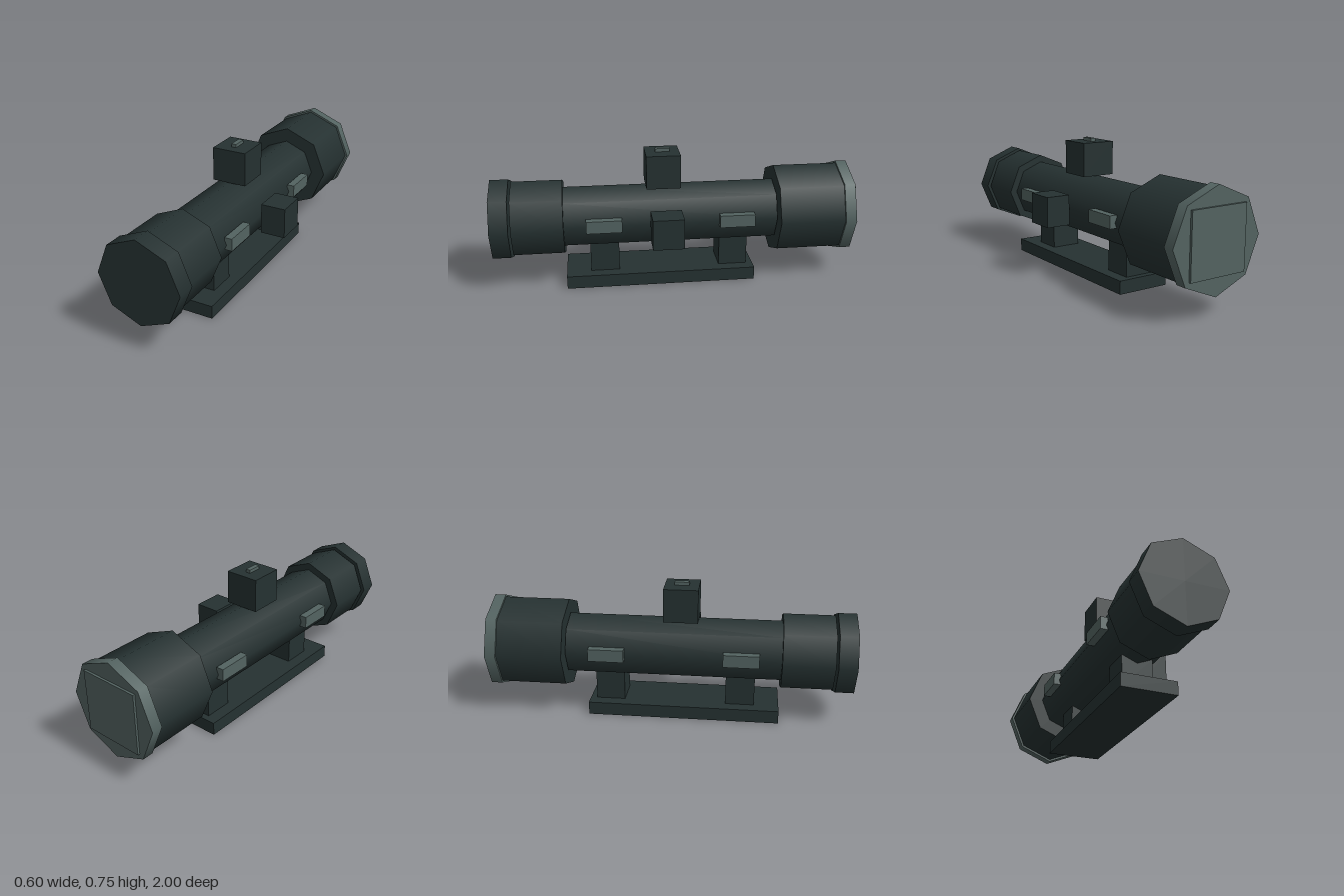
import * as THREE from 'three';

export function createModel() {
  const group = new THREE.Group();
  const dark = new THREE.MeshStandardMaterial({ color: 0x253131 });
  dark.name = 'dark gunmetal';
  const grey = new THREE.MeshStandardMaterial({ color: 0x536361 });
  grey.name = 'grey metal';

  const axisX = -0.033, axisY = 0.377;

  const add = (name, geometry, material) => {
    const mesh = new THREE.Mesh(geometry, material);
    mesh.name = name;
    group.add(mesh);
    return mesh;
  };

  // Eight-sided barrel section along z, smooth round the side
  const barrel = (name, radius, z0, z1, material = dark) => {
    const geometry = new THREE.CylinderGeometry(radius, radius, z1 - z0, 8);
    geometry.rotateX(Math.PI / 2);
    add(name, geometry, material).position.set(axisX, axisY, (z0 + z1) / 2);
  };

  // Box given by its limits on each axis
  const block = (name, [x0, x1], [y0, y1], [z0, z1], material = dark) => {
    add(name, new THREE.BoxGeometry(x1 - x0, y1 - y0, z1 - z0), material)
      .position.set((x0 + x1) / 2, (y0 + y1) / 2, (z0 + z1) / 2);
  };

  // Tube, with narrow gaps between its sections
  barrel('frontCap', 0.23, 0.9, 1);
  barrel('frontCollar', 0.216, 0.611, 0.889);
  barrel('mainTube', 0.174, -0.564, 0.611);
  barrel('rearBell', 0.254, -0.928, -0.568);
  barrel('rearRim', 0.266, -0.988, -0.928, grey);
  block('rearPanel', [-0.2, 0.134], [0.21, 0.544], [-1, -0.98], grey);

  // Adjustment knobs
  block('topTurret', [-0.129, 0.064], [0.551, 0.737], [-0.033, 0.155]);
  block('topTurretMark', [-0.047, -0.019], [0.73, 0.755], [0.02, 0.1], grey);
  block('sideTurret', [0.157, 0.296], [0.292, 0.46], [-0.026, 0.143]);

  // Grey clamps on both sides of the tube
  for (const side of [-1, 1]) {
    const xs = [axisX + side * 0.163, axisX + side * 0.205].sort((a, b) => a - b);
    for (const z of [0.394, -0.335]) {
      block('sideClamp', xs, [0.35, 0.419], [z - 0.097, z + 0.097], grey);
    }
  }

  // Mounting posts and rail
  for (const z of [0.393, -0.334]) {
    block('mountPost', [-0.117, 0.052], [0.07, 0.237], [z - 0.08, z + 0.08]);
  }
  block('mountRail', [-0.183, 0.118], [0, 0.073], [-0.45, 0.609]);

  return group;
}
